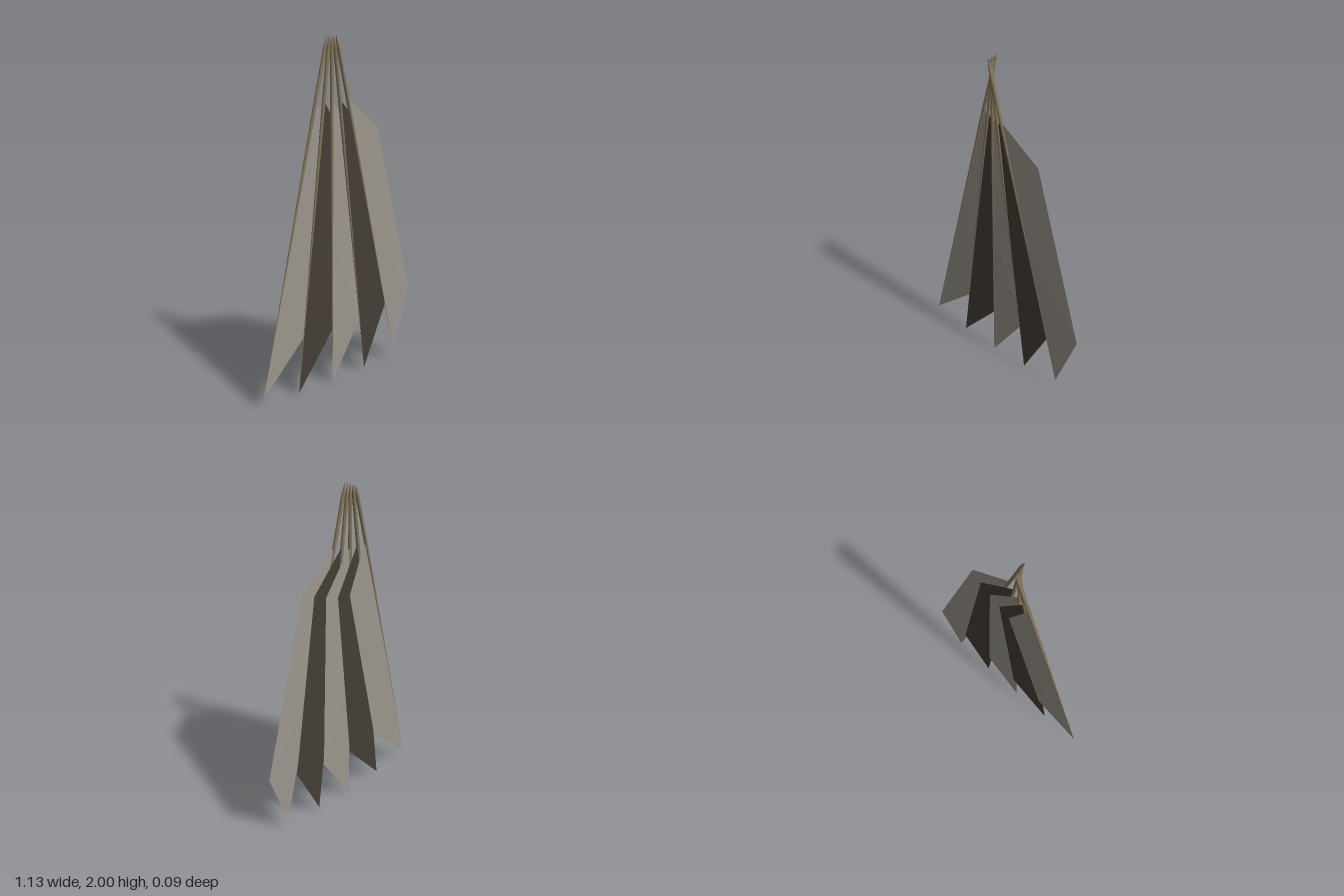
import * as THREE from 'three';

const mat = (name, color, side = THREE.FrontSide) => {
  const m = new THREE.MeshStandardMaterial({ color, side });
  m.name = name;
  return m;
};

// Tapered shaft hanging down from the origin
function quillGeometry() {
  const profile = [[0, -2], [0.0055, -1.1], [0.01, -0.35], [0.01, -0.08], [0.006, -0.03], [0, 0]];
  return new THREE.LatheGeometry(profile.map(([r, y]) => new THREE.Vector2(r, y)), 10);
}

// One-sided vane: thickest beside the shaft, knife-thin at its outer edge
function vaneGeometry() {
  const outline = [
    [0, -0.344, 0.003], [0, -1.1, 0.004], [0, -2, 0], [0.222, -1.668, 0], [0.189, -0.58, 0],
  ];
  const pos = [];
  for (const side of [1, -1]) {
    for (const tri of [[1, 2, 3], [1, 3, 4], [1, 4, 0]]) {
      const order = side > 0 ? tri : [...tri].reverse();
      for (const i of order) pos.push(outline[i][0], outline[i][1], outline[i][2] * side);
    }
  }
  const g = new THREE.BufferGeometry();
  g.setAttribute('position', new THREE.Float32BufferAttribute(pos, 3));
  g.computeVertexNormals();
  return g;
}

export function createModel() {
  const model = new THREE.Group();
  model.name = 'featherFan';

  const quillMat = mat('quillTan', 0x85765c);
  const vaneMats = [
    mat('paleGrey', 0x9c978e, THREE.DoubleSide),
    mat('darkBrown', 0x453e38, THREE.DoubleSide),
  ];
  const quillGeo = quillGeometry();
  const vaneGeo = vaneGeometry();

  // Five feathers fanned about one point, stacked from back to front
  for (let i = 0; i < 5; i++) {
    const feather = new THREE.Group();
    feather.name = `feather${i + 1}`;
    const quill = new THREE.Mesh(quillGeo, quillMat);
    quill.name = 'quill';
    const vane = new THREE.Mesh(vaneGeo, vaneMats[i % 2]);
    vane.name = 'vane';
    feather.add(quill, vane);
    feather.position.set(-0.067, 2, (i - 2) * 0.017);
    feather.rotation.z = THREE.MathUtils.degToRad((i - 2) * 7.2);
    model.add(feather);
  }
  return model;
}
